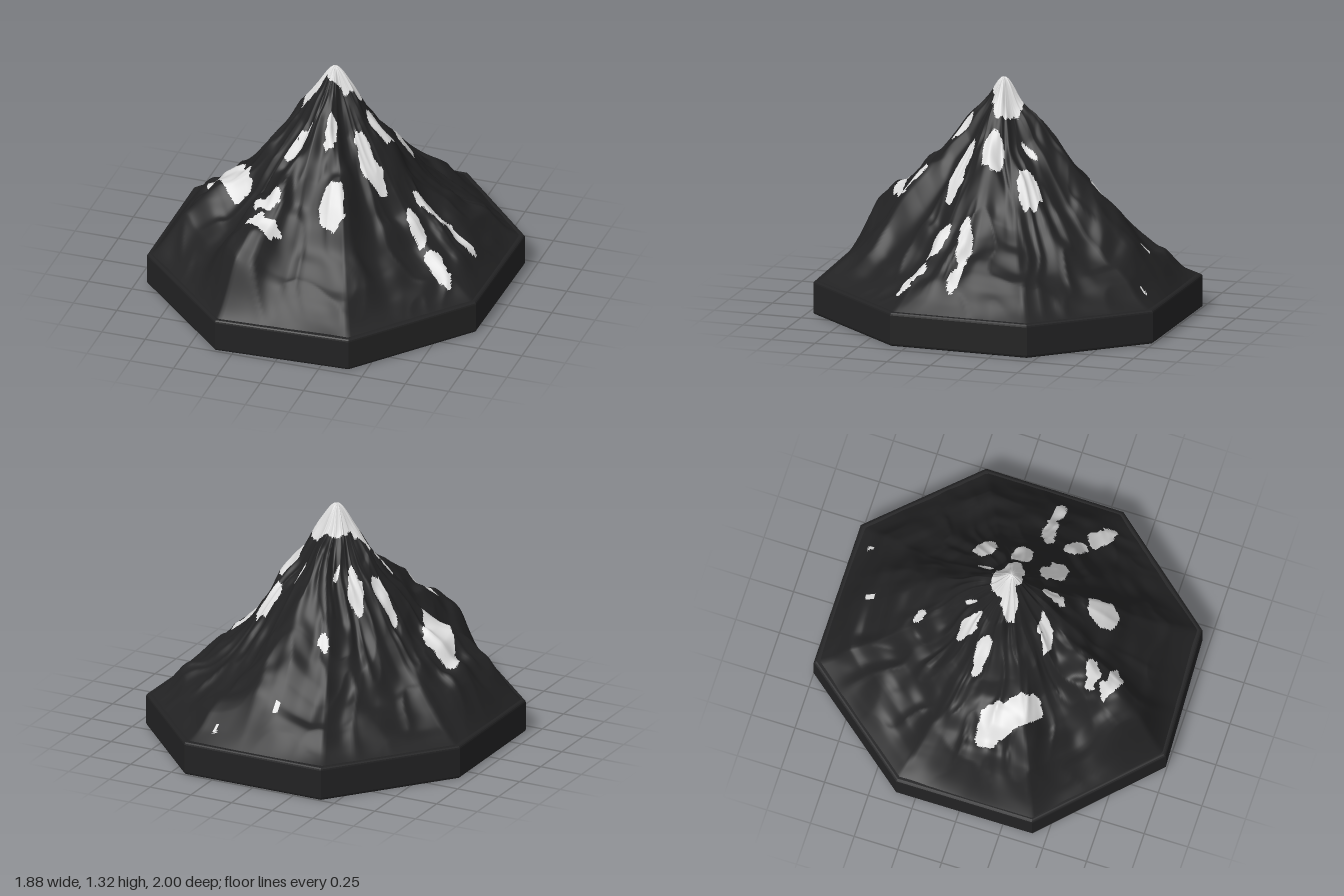
import * as THREE from 'three';

// Octagonal plinth outline (x, z), in order of rising angle
const OUTLINE = [[0.94, -0.45], [0.93, 0.34], [0.41, 0.96], [-0.35, 0.995],
  [-0.94, 0.42], [-0.94, -0.36], [-0.42, -1], [0.42, -1]];
const BASE_TOP = 0.19, PEAK = 1.32;

// Slope heights at these fractions of the way out, for 16 compass directions from +x towards +z
const STEPS = [0, 0.1, 0.2, 0.35, 0.5, 0.67, 0.84, 1];
const SLOPES = [
  [1.23, 1.07, 0.90, 0.63, 0.50, 0.36], [1.19, 1.02, 0.80, 0.60, 0.43, 0.29],
  [1.15, 0.98, 0.79, 0.60, 0.42, 0.28], [1.17, 1.02, 0.85, 0.72, 0.48, 0.30],
  [1.19, 1.08, 0.88, 0.68, 0.50, 0.33], [1.18, 1.02, 0.87, 0.78, 0.66, 0.48],
  [1.18, 1.00, 0.82, 0.63, 0.46, 0.30], [1.18, 1.00, 0.82, 0.66, 0.57, 0.37],
  [1.20, 1.05, 0.85, 0.65, 0.54, 0.38], [1.18, 1.02, 0.80, 0.60, 0.42, 0.28],
  [1.17, 1.00, 0.80, 0.60, 0.43, 0.29], [1.17, 1.03, 0.83, 0.63, 0.46, 0.30],
  [1.18, 1.09, 0.92, 0.75, 0.58, 0.37], [1.16, 1.02, 0.82, 0.62, 0.46, 0.31],
  [1.15, 0.98, 0.83, 0.62, 0.44, 0.30], [1.18, 1.00, 0.82, 0.60, 0.44, 0.31],
].map(row => [PEAK, ...row, BASE_TOP - 0.01]);

// Snow patches seen from above: x, z, half length, half width, turn in degrees
const SNOW = [
  [0.02, -0.03, 0.12, 0.085, 0], [-0.1, 0.02, 0.08, 0.05, -20],
  [0.25, -0.02, 0.07, 0.07, 0], [0.29, -0.24, 0.08, 0.06, -20],
  [-0.21, -0.18, 0.08, 0.035, 35], [-0.33, -0.07, 0.09, 0.04, 5],
  [-0.14, 0.235, 0.09, 0.033, -18], [0.055, 0.23, 0.03, 0.065, 0],
  [0.26, 0.17, 0.11, 0.05, 25], [0.15, 0.47, 0.065, 0.085, 0],
  [-0.21, 0.53, 0.065, 0.04, 0], [-0.2, 0.63, 0.1, 0.035, 10], [-0.17, 0.66, 0.045, 0.04, 0],
  [-0.6, 0.07, 0.11, 0.08, 10], [-0.53, 0.19, 0.14, 0.075, 40], [-0.45, 0.27, 0.07, 0.05, 0],
  [0.58, 0.03, 0.11, 0.04, -12], [0.75, 0.03, 0.09, 0.025, 5],
  [0.54, 0.19, 0.08, 0.035, 40], [0.7, 0.29, 0.1, 0.045, 35],
  [-0.16, -0.47, 0.035, 0.025, 0], [-0.04, -0.8, 0.015, 0.03, 0],
  [0.28, -0.9, 0.01, 0.02, 0], [-0.1, -0.2, 0.01, 0.035, 0], [0.13, -0.19, 0.013, 0.05, 10],
];

const mod = (a, n) => ((a % n) + n) % n;

function hash(i, j, seed) {
  const s = Math.sin(i * 127.1 + j * 311.7 + seed * 74.7) * 43758.5453;
  return s - Math.floor(s);
}

// Smooth noise from -1 to 1; repeats every `period` along the first axis
function noise(a, b, seed, period = 1e6) {
  const i = Math.floor(a), j = Math.floor(b);
  const ease = f => f * f * (3 - 2 * f);
  const u = ease(a - i), v = ease(b - j);
  const at = (p, q) => hash(mod(i + p, period), j + q, seed);
  const lerp = THREE.MathUtils.lerp;
  return lerp(lerp(at(0, 0), at(1, 0), u), lerp(at(0, 1), at(1, 1), u), v) * 2 - 1;
}

function spline(p0, p1, p2, p3, f) {
  return p1 + 0.5 * f * (p2 - p0 + f * (2 * p0 - 5 * p1 + 4 * p2 - p3 + f * (3 * (p1 - p2) + p3 - p0)));
}

// Distance from the centre to the outline along an angle
function edgeDistance(angle) {
  const c = Math.cos(angle), s = Math.sin(angle);
  let best = Infinity;
  OUTLINE.forEach(([x, z], k) => {
    const [x2, z2] = OUTLINE[(k + 1) % OUTLINE.length];
    const nx = z2 - z, nz = x - x2, along = nx * c + nz * s;
    if (along > 1e-6) best = Math.min(best, (nx * x + nz * z) / along);
  });
  return best;
}

// Height along one compass direction
function slopeHeight(row, t) {
  let k = 0;
  while (k < STEPS.length - 2 && t > STEPS[k + 1]) k++;
  const f = (t - STEPS[k]) / (STEPS[k + 1] - STEPS[k]);
  const before = k ? row[k - 1] : row[1];
  const after = k + 2 < row.length ? row[k + 2] : row[k + 1] - 0.1;
  return spline(before, row[k], row[k + 1], after, f);
}

function height(turn, t) {
  const a = turn * 16, k = Math.floor(a);
  const h = d => slopeHeight(SLOPES[mod(k + d, 16)], t);
  const y = spline(h(-1), h(0), h(1), h(2), a - k);
  // Gullies and ribs run downhill, bent a little from side to side
  const bent = turn + 0.018 * noise(turn * 12, t * 5, 1, 12);
  const rib = (n, stretch, seed) => 0.42 - Math.abs(noise(bent * n, t * stretch, seed, n));
  const fade = Math.min(t * 5, 1) * Math.min((1 - t) * 5, 1);
  const rough = 0.05 * rib(22, 3, 2) + 0.035 * rib(48, 4, 3) * Math.min(1, t * 2)
    + 0.018 * noise(turn * 30, t * 14, 4, 30);
  return y + fade * rough;
}

function isSnow(x, z) {
  const wx = x + 0.016 * noise(x * 22, z * 22, 5) + 0.006 * noise(x * 60, z * 60, 6);
  const wz = z + 0.016 * noise(x * 22, z * 22, 7) + 0.006 * noise(x * 60, z * 60, 8);
  return SNOW.some(([cx, cz, a, b, deg]) => {
    const r = THREE.MathUtils.degToRad(deg), c = Math.cos(r), s = Math.sin(r);
    // The smallest specks keep their plain shape
    const dx = (a < 0.02 ? x : wx) - cx, dz = (a < 0.02 ? z : wz) - cz;
    return ((dx * c + dz * s) / a) ** 2 + ((dz * c - dx * s) / b) ** 2 < 1;
  });
}

// Rings of points from the summit out to the plinth edge, split into rock and snow faces
function mountainGeometry(around = 360, rings = 130) {
  const pos = [0, PEAK, 0], rock = [], snow = [];
  const reach = Array.from({ length: around }, (_, j) => edgeDistance(j / around * Math.PI * 2) * 0.985);
  for (let i = 1; i <= rings; i++) {
    for (let j = 0; j < around; j++) {
      const t = i / rings, angle = j / around * Math.PI * 2, r = t * reach[j];
      pos.push(Math.cos(angle) * r, height(j / around, t), Math.sin(angle) * r);
    }
  }
  const id = (i, j) => (i ? 1 + (i - 1) * around + j % around : 0);
  const face = (...v) => {
    const mean = axis => v.reduce((sum, p) => sum + pos[p * 3 + axis], 0) / 3;
    (isSnow(mean(0), mean(2)) ? snow : rock).push(...v);
  };
  for (let i = 0; i < rings; i++) {
    for (let j = 0; j < around; j++) {
      face(id(i, j), id(i + 1, j + 1), id(i + 1, j));
      if (i) face(id(i, j), id(i, j + 1), id(i + 1, j + 1));
    }
  }
  const geo = new THREE.BufferGeometry();
  geo.setAttribute('position', new THREE.Float32BufferAttribute(pos, 3));
  geo.setIndex(rock.concat(snow));
  geo.addGroup(0, rock.length, 0);
  geo.addGroup(rock.length, snow.length, 1);
  geo.computeVertexNormals();
  return geo;
}

// Octagonal slab with softened edges
function plinthGeometry() {
  const bevel = 0.016;
  const shape = new THREE.Shape(OUTLINE.map(([x, z]) => new THREE.Vector2(x, -z)));
  const geo = new THREE.ExtrudeGeometry(shape, {
    depth: BASE_TOP - 2 * bevel, bevelEnabled: true, bevelThickness: bevel,
    bevelSize: bevel, bevelOffset: -bevel, bevelSegments: 3,
  });
  return geo.rotateX(-Math.PI / 2).translate(0, bevel, 0);
}

export function createModel() {
  const rock = new THREE.MeshStandardMaterial({ color: 0x222223 });
  rock.name = 'dark rock';
  const snow = new THREE.MeshStandardMaterial({ color: 0xdcdcdc });
  snow.name = 'snow';

  const plinth = new THREE.Mesh(plinthGeometry(), rock);
  plinth.name = 'plinth';
  const mountain = new THREE.Mesh(mountainGeometry(), [rock, snow]);
  mountain.name = 'mountain';

  const model = new THREE.Group();
  model.name = 'mountainModel';
  model.add(plinth, mountain);
  return model;
}
